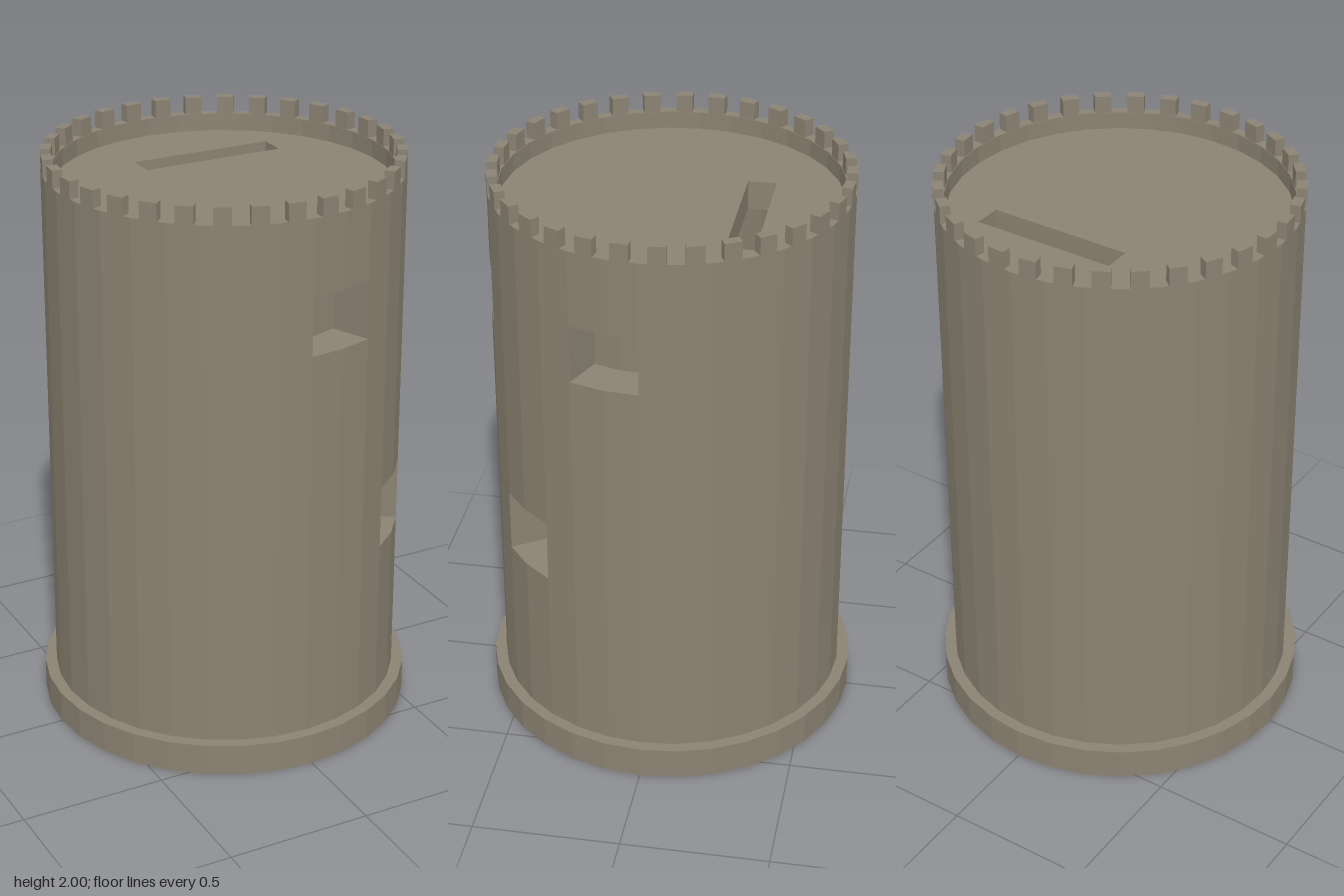
import * as THREE from 'three';

const SIDES = 32;
const STEP = (Math.PI * 2) / SIDES;

export function createModel() {
  const group = new THREE.Group();
  const stone = new THREE.MeshStandardMaterial({ color: 0x8b8272 });
  stone.name = 'stone';

  // Point on a circle, measured in facets from the front (+z) towards +x
  const at = (r, i) => new THREE.Vector2(Math.sin(i * STEP) * r, -Math.cos(i * STEP) * r);
  const arc = (r, from, to, div = 1) => {
    const pts = [];
    const n = Math.max(1, Math.round((to - from) * div));
    for (let k = 0; k <= n; k++) pts.push(at(r, from + ((to - from) * k) / n));
    return pts;
  };
  const circle = (r) => arc(r, 0, SIDES).slice(0, -1);

  // Upright prism of a plan shape between two heights
  function prism(name, shape, y0, y1) {
    const geo = new THREE.ExtrudeGeometry(shape, { depth: y1 - y0, bevelEnabled: false });
    geo.rotateX(-Math.PI / 2);
    geo.translate(0, y0, 0);
    const mesh = new THREE.Mesh(geo, stone);
    mesh.name = name;
    group.add(mesh);
  }
  function ring(name, inner, outer, y0, y1) {
    const shape = new THREE.Shape(circle(outer));
    shape.holes.push(new THREE.Path(circle(inner)));
    prism(name, shape, y0, y1);
  }
  function sector(name, inner, outer, from, to, y0, y1) {
    const pts = [...arc(outer, from, to), ...arc(inner, from, to).reverse()];
    prism(name, new THREE.Shape(pts), y0, y1);
  }

  const R = 0.6, CORE = 0.46, PARAPET = 0.565;
  const FLOOR = 1.88, SLAB = 1.78;

  // Foot ring and thick wall, broken into courses by the window openings
  ring('footRing', 0.58, 0.64, 0, 0.11);
  ring('lowerWall', CORE, R, 0.11, 0.68);
  sector('lowWindowCourse', CORE, R, 5, SIDES + 3, 0.68, 0.9);
  ring('middleWall', CORE, R, 0.9, 1.48);
  sector('highWindowCourse', CORE, R, 2, 6, 1.48, 1.68);
  sector('highWindowCourse', CORE, R, 8, SIDES, 1.48, 1.68);
  ring('upperWall', CORE, R, 1.68, SLAB);

  // Inner lining closing the back of the windows
  ring('innerLining', CORE - 0.02, CORE, 0, SLAB);

  // Roof with a long slot
  const roof = new THREE.Shape(circle(R));
  roof.holes.push(new THREE.Path([
    new THREE.Vector2(-0.17, 0.225), new THREE.Vector2(0.33, 0.225),
    new THREE.Vector2(0.33, 0.32), new THREE.Vector2(-0.17, 0.32),
  ]));
  prism('slottedRoof', roof, SLAB, FLOOR);

  // Parapet and battlements
  ring('parapet', PARAPET, R, FLOOR, 1.94);
  for (let i = 0; i < SIDES; i++) {
    sector('merlon', PARAPET, R, i + 0.25, i + 0.75, 1.94, 2);
  }

  // Bottom plug with a finely notched rim
  const rim = [];
  for (let i = 0; i < SIDES * 4; i++) rim.push(at(i % 2 ? 0.475 : CORE, i / 4));
  prism('bottomPlug', new THREE.Shape(rim), 0, 0.11);

  return group;
}
